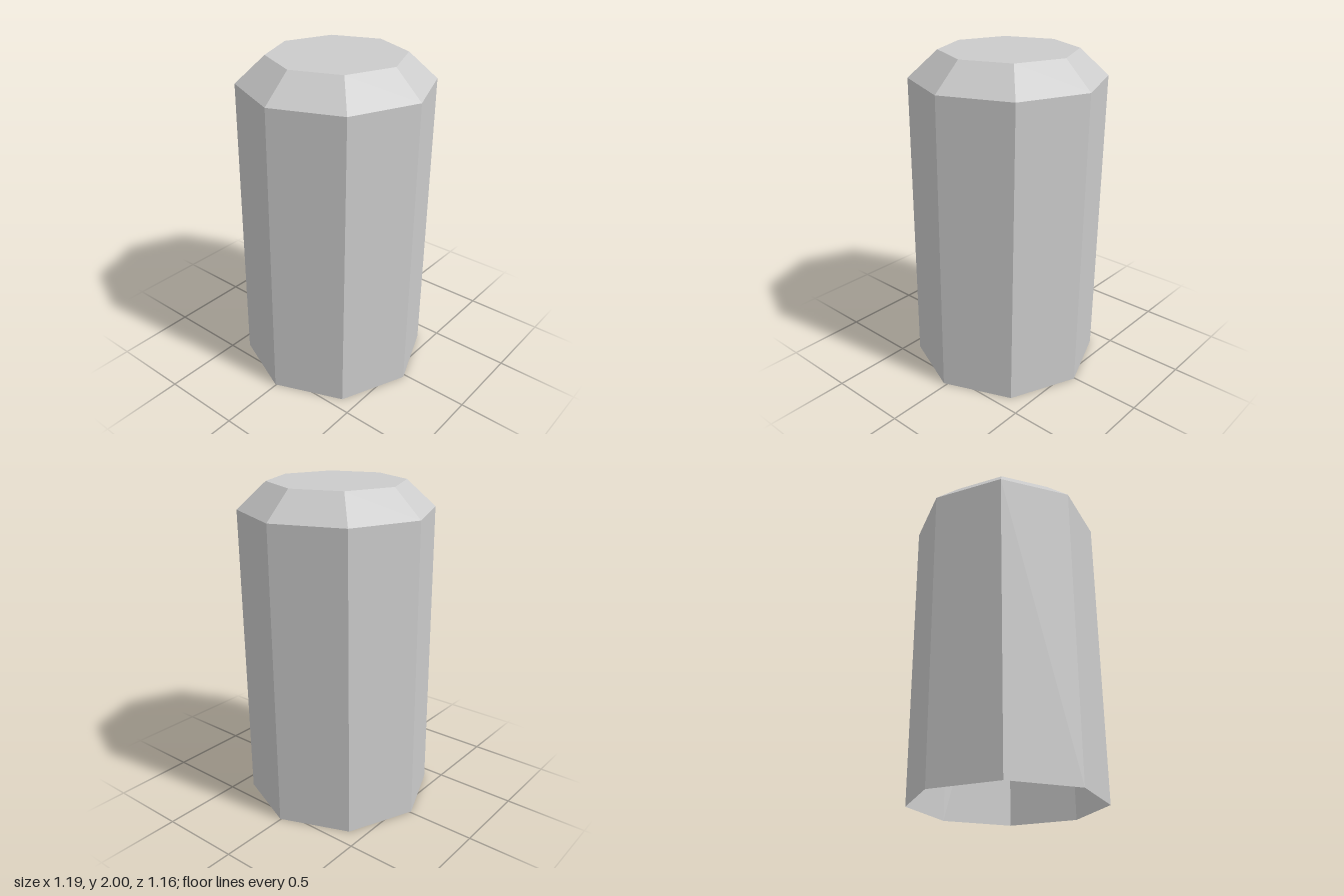
import * as THREE from 'three';

const SIDES = 8;
const TWIST = -0.01;

// Eight-sided shell from a profile of [radius, height], leaning slightly to +x
function shell(name, profile, material) {
  const points = profile.map(([r, y]) => new THREE.Vector2(r, y));
  const geometry = new THREE.LatheGeometry(points, SIDES, TWIST).toNonIndexed();
  const pos = geometry.attributes.position;
  for (let i = 0; i < pos.count; i++) {
    pos.setX(i, pos.getX(i) - 0.016 + 0.0142 * pos.getY(i));
  }
  geometry.computeVertexNormals();
  const mesh = new THREE.Mesh(geometry, material);
  mesh.name = name;
  return mesh;
}

export function createModel() {
  const group = new THREE.Group();
  group.name = 'octagonalPost';
  const material = new THREE.MeshStandardMaterial({
    color: 0xcccccc, flatShading: true, side: THREE.DoubleSide,
  });

  // Wall, open at the bottom
  group.add(shell('wall', [[0.579, 0], [0.58, 1.84]], material));
  // Bevelled rim
  group.add(shell('bevel', [[0.58, 1.84], [0.406, 2]], material));
  // Flat top
  group.add(shell('top', [[0.406, 2], [0, 2]], material));

  return group;
}
